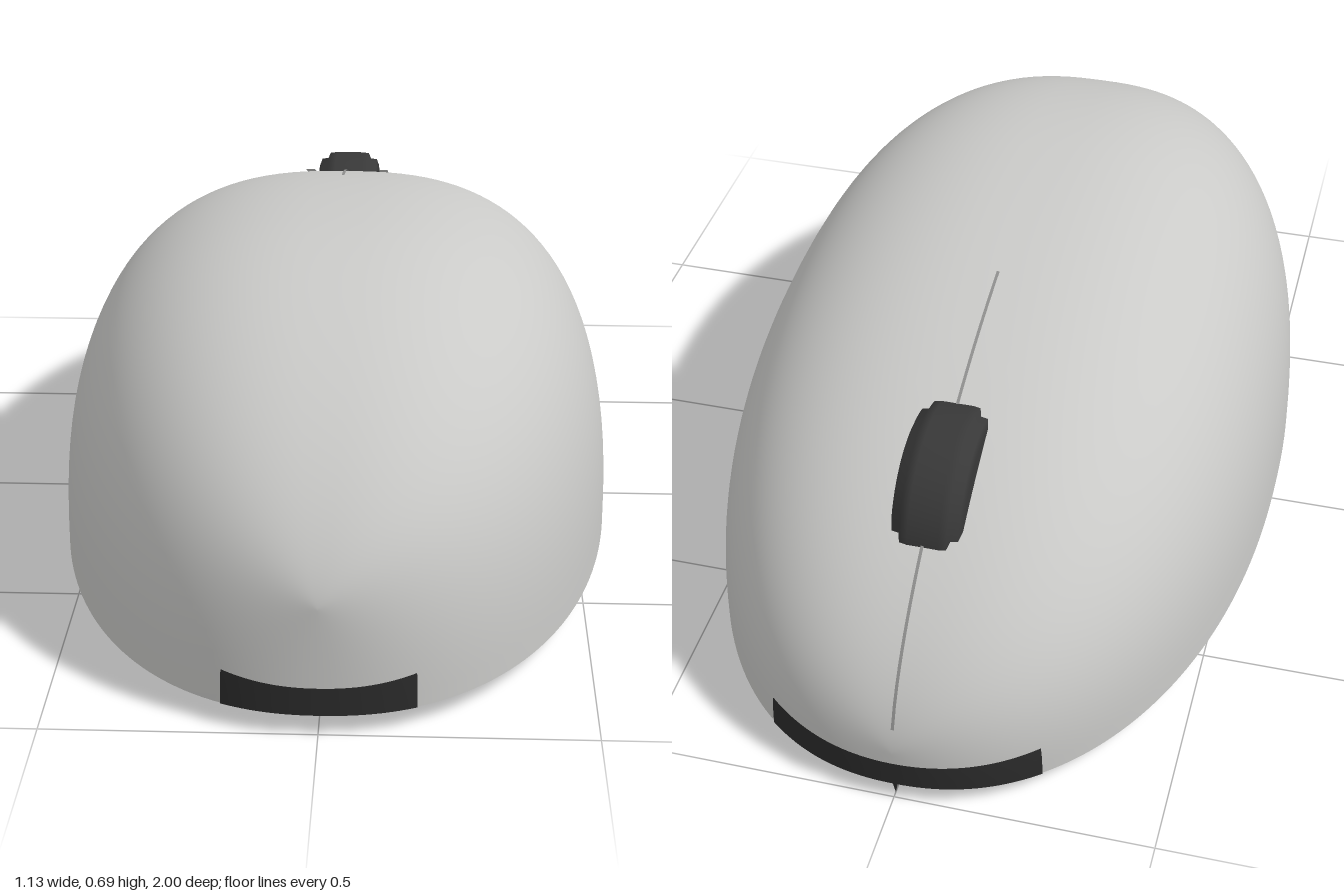
import * as THREE from 'three';
import { mergeVertices } from 'three/addons/utils/BufferGeometryUtils.js';

const FLOOR = 0.04; // underside height
const N = 2.6; // roundness of the cross-sections

// Half width and top height of the body along z
const widthAt = (z) => 0.565 * Math.pow(Math.max(0, 1 - Math.pow(Math.abs(z), 2.2)), 1 / 2.2);
const heightAt = (z) => {
  const rear = z > 0.2;
  const t = rear ? (z - 0.2) / 0.8 : (0.2 - z) / 1.2;
  const k = Math.max(0, 1 - t * t);
  return rear ? 0.25 + 0.442 * Math.pow(k, 0.68) : 0.12 + 0.572 * Math.pow(k, 0.59);
};
const surfaceY = (x, z) => {
  const r = Math.min(1, Math.abs(x) / Math.max(widthAt(z), 1e-4));
  return FLOOR + (heightAt(z) - FLOOR) * Math.pow(1 - Math.pow(r, N), 1 / N);
};

// Smooth surface from a rule point(u, v) with u and v in 0..1
function surface(nu, nv, point) {
  const pos = [], idx = [];
  for (let i = 0; i <= nu; i++) {
    for (let j = 0; j <= nv; j++) pos.push(...point(i / nu, j / nv));
  }
  for (let i = 0; i < nu; i++) {
    for (let j = 0; j < nv; j++) {
      const a = i * (nv + 1) + j, b = a + 1, c = a + nv + 1, d = c + 1;
      idx.push(a, b, c, b, d, c);
    }
  }
  let g = new THREE.BufferGeometry();
  g.setAttribute('position', new THREE.Float32BufferAttribute(pos, 3));
  g.setIndex(idx);
  g = mergeVertices(g, 1e-5);
  g.computeVertexNormals();
  return g;
}

export function createModel() {
  const mat = (name, color) => new THREE.MeshStandardMaterial({ name, color, side: THREE.DoubleSide });
  const shellGrey = mat('shell grey', 0xcacac8);
  const seamGrey = mat('seam grey', 0x8f8f8e);
  const baseBlack = mat('base black', 0x2c2c2c);
  const wheelBlack = mat('wheel black', 0x383838);

  const model = new THREE.Group();
  model.name = 'computerMouse';
  const add = (name, geometry, material, x = 0, y = 0, z = 0) => {
    const m = new THREE.Mesh(geometry, material);
    m.name = name;
    m.position.set(x, y, z);
    model.add(m);
    return m;
  };

  // Domed shell
  add('shell', surface(96, 64, (u, v) => {
    const z = -Math.cos(Math.PI * u), a = Math.PI * v;
    const c = Math.cos(a), s = Math.max(0, Math.sin(a));
    return [
      Math.sign(c) * widthAt(z) * Math.pow(Math.abs(c), 2 / N),
      FLOOR + (heightAt(z) - FLOOR) * Math.pow(s, 2 / N),
      z,
    ];
  }), shellGrey);

  // Flat underside
  add('underside', surface(96, 2, (u, v) => {
    const z = -Math.cos(Math.PI * u);
    return [(v * 2 - 1) * widthAt(z), FLOOR, z];
  }), baseBlack);

  // Dark trim wrapped round the lower edge at each end
  const trim = (name, end, inner) => {
    const reach = Math.acos(inner);
    add(name, surface(6, 40, (u, v) => {
      const s = v * 2 - 1, z = end * Math.cos(s * reach);
      const top = 0.095 + 0.015 * s * s;
      const y = FLOOR + (top - FLOOR) * u;
      const r = Math.min(1, (y - FLOOR) / (heightAt(z) - FLOOR));
      const x = widthAt(z) * Math.pow(1 - Math.pow(r, N), 1 / N);
      return [Math.sign(s) * x * 1.006, y, z * 1.002];
    }), baseBlack);
  };
  trim('rearTrim', 1, 0.965);
  trim('frontTrim', -1, 0.91);

  // Thin strips lying on the shell: button seam and wheel slot edges
  const strip = (name, x, halfWidth, z0, z1, lift, material) =>
    add(name, surface(40, 2, (u, v) => {
      const z = z0 + (z1 - z0) * u, px = x + (1 - 2 * v) * halfWidth;
      return [px, surfaceY(px, z) + lift, z];
    }), material);
  strip('buttonSeam', 0, 0.003, -0.99, -0.2, 0.003, seamGrey);
  for (const side of [-1, 1]) strip('slotEdge', side * 0.083, 0.01, -0.75, -0.41, 0.005, shellGrey);

  // Small seam tip under the nose
  const tip = add('seamTip', new THREE.ConeGeometry(0.008, 0.04, 8), baseBlack, 0, 0.02, -0.988);
  tip.rotation.x = Math.PI;

  // Scroll wheel with a raised tread
  const profile = [
    [0, -0.069], [0.155, -0.069], [0.168, -0.064], [0.17, -0.05], [0.182, -0.045], [0.184, -0.03],
    [0.184, 0.03], [0.182, 0.045], [0.17, 0.05], [0.168, 0.064], [0.155, 0.069], [0, 0.069],
  ].map(([r, y]) => new THREE.Vector2(r, y));
  const wheel = add('scrollWheel', new THREE.LatheGeometry(profile, 64), wheelBlack, 0, 0.398, -0.585);
  wheel.rotation.z = Math.PI / 2;

  // Glide feet with rounded ends
  const r = 0.037, half = 0.228 - r;
  const outline = new THREE.Shape();
  outline.absarc(half, 0, r, -Math.PI / 2, Math.PI / 2);
  outline.absarc(-half, 0, r, Math.PI / 2, Math.PI * 1.5);
  const footGeometry = new THREE.ExtrudeGeometry(outline, { depth: 0.026, bevelEnabled: false, curveSegments: 16 });
  footGeometry.rotateX(-Math.PI / 2);
  add('rearFoot', footGeometry, wheelBlack, 0, 0.015, 0.69);
  add('frontFoot', footGeometry, wheelBlack, 0, 0.015, -0.61);

  return model;
}
